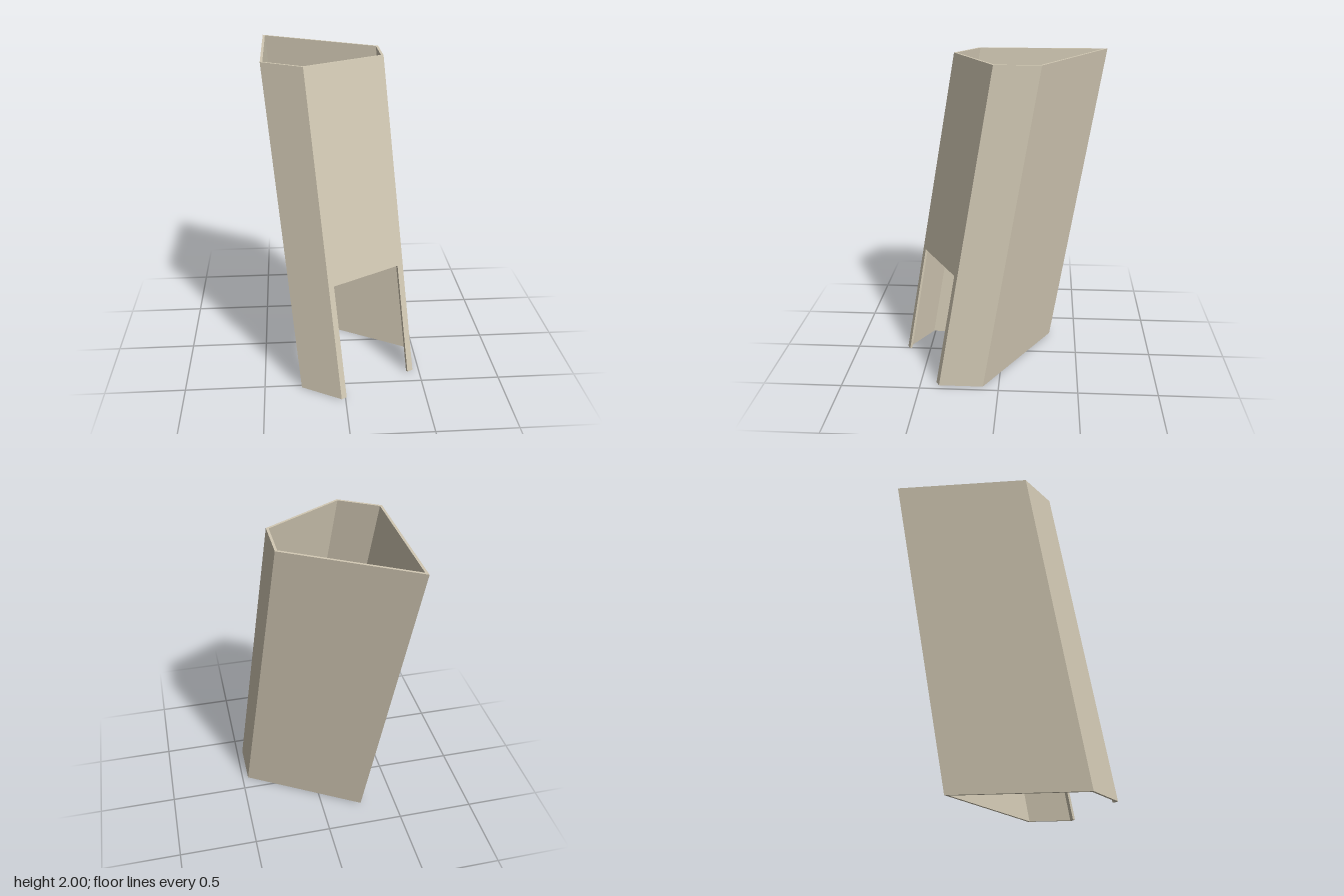
import * as THREE from 'three';

const HEIGHT = 2;
const OPENING_TOP = 0.717;
const LEAN = { x: 0.195, z: 0.34 }; // offset of the foot relative to the top
const WALL = 0.015;

// Plan of the shaft at its top, as [x, z]
const outer = [[-0.462, -0.66], [0.266, -0.24], [0.266, 0.04], [-0.219, 0.32], [-0.462, 0.18]];
const inner = [[-0.447, -0.634], [0.251, -0.231], [0.251, 0.031], [-0.219, 0.303], [-0.447, 0.171]];

// Vertical extrusion of a plan, sheared so the shaft leans
function leaningPrism(points, hole, y0, y1) {
  const toPoints = (list) => list.map(([x, z]) => new THREE.Vector2(x, -z));
  const shape = new THREE.Shape(toPoints(points));
  // The hole runs opposite to the outline so its walls face the inside
  if (hole) shape.holes.push(new THREE.Path(toPoints(hole).reverse()));
  const geometry = new THREE.ExtrudeGeometry(shape, { depth: y1 - y0, bevelEnabled: false });
  geometry.rotateX(-Math.PI / 2).translate(0, y0, 0);
  const p = geometry.attributes.position;
  for (let i = 0; i < p.count; i++) {
    const k = 1 - p.getY(i) / HEIGHT;
    p.setX(i, p.getX(i) + LEAN.x * k);
    p.setZ(i, p.getZ(i) + LEAN.z * k);
  }
  geometry.computeVertexNormals();
  return geometry;
}

export function createModel() {
  const model = new THREE.Group();
  model.name = 'leaningShaft';
  const stone = new THREE.MeshStandardMaterial({ color: 0xd2c9b4 });
  stone.name = 'paleStone';

  const add = (name, geometry) => {
    const mesh = new THREE.Mesh(geometry, stone);
    mesh.name = name;
    model.add(mesh);
  };

  // Closed five-sided tube above the doorway
  add('upperWalls', leaningPrism(outer, inner, OPENING_TOP, HEIGHT));

  // Lower walls, interrupted by the doorway in the front wall
  const jamb = (x) => {
    const z = 0.32 - (x + 0.219) * 0.577;
    return { out: [x, z], in: [x - WALL * 0.5, z - WALL * 0.866] };
  };
  const left = jamb(0.23), right = jamb(-0.187);
  const [a, b, c, d, e] = outer;
  const [ai, bi, ci, di, ei] = inner;
  const plan = [right.out, d, e, a, b, c, left.out, left.in, ci, bi, ai, ei, di, right.in];
  add('lowerWalls', leaningPrism(plan, null, 0, OPENING_TOP));

  return model;
}
